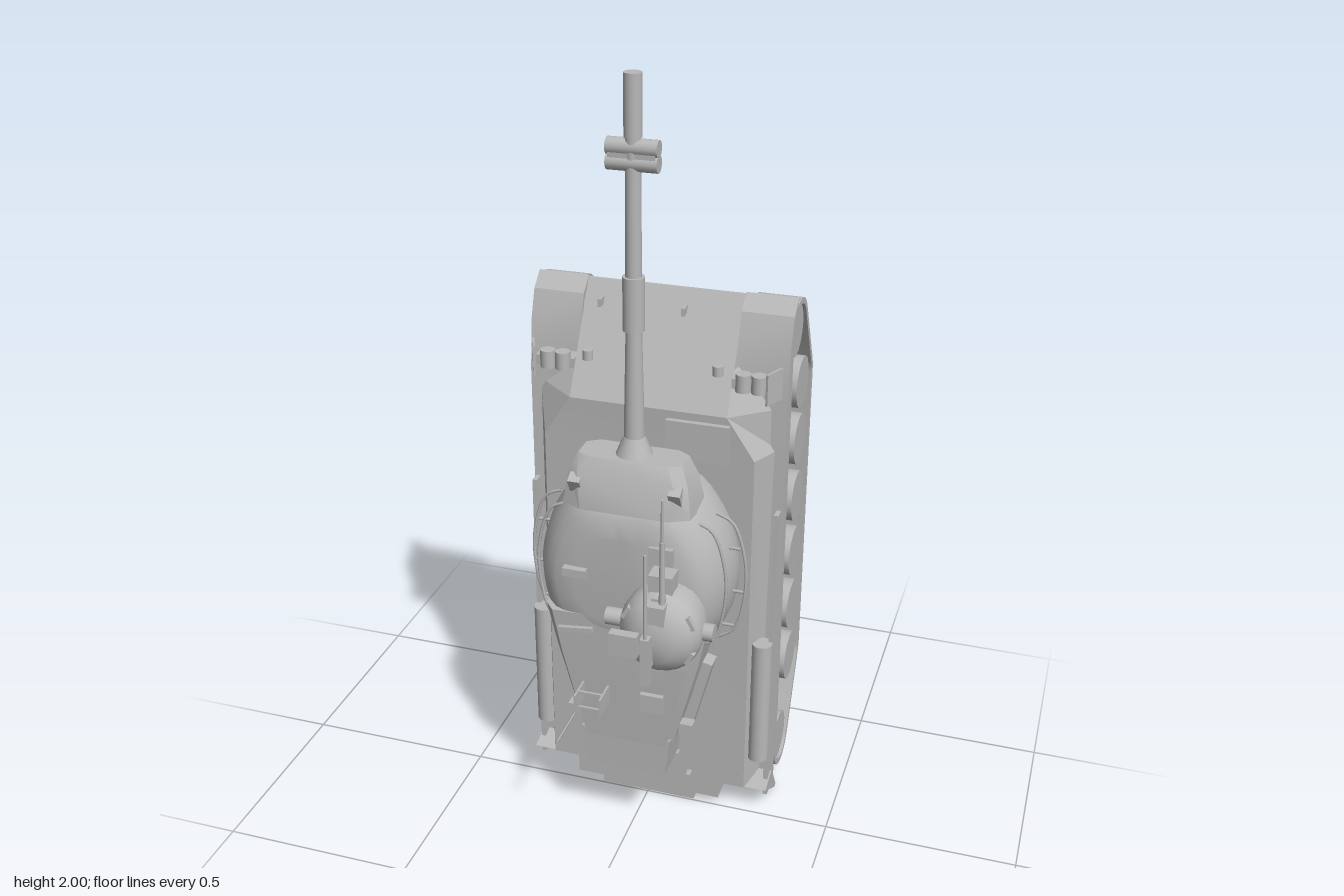
import * as THREE from 'three';
import { toCreasedNormals } from 'three/addons/utils/BufferGeometryUtils.js';

// Armoured vehicle standing on its tail: gun points to +y, roof faces +z.
export function createModel() {
  const model = new THREE.Group();
  const grey = new THREE.MeshStandardMaterial({ color: 0xb8b8b8, side: THREE.DoubleSide });
  grey.name = 'plain grey';

  function add(name, geometry, x = 0, y = 0, z = 0, rx = 0, ry = 0, rz = 0) {
    const mesh = new THREE.Mesh(geometry, grey);
    mesh.name = name;
    mesh.position.set(x, y, z);
    mesh.rotation.set(rx, ry, rz);
    model.add(mesh);
    return mesh;
  }
  const box = (name, w, h, d, x, y, z, rx, ry, rz) => add(name, new THREE.BoxGeometry(w, h, d), x, y, z, rx, ry, rz);
  // Cylinder between two points
  function rod(name, a, b, r, r2 = r, sides = 16) {
    const p = new THREE.Vector3(...a), q = new THREE.Vector3(...b), d = q.clone().sub(p);
    const mesh = add(name, new THREE.CylinderGeometry(r2, r, d.length(), sides));
    mesh.position.copy(p).add(q).multiplyScalar(0.5);
    mesh.quaternion.setFromUnitVectors(new THREE.Vector3(0, 1, 0), d.normalize());
  }
  // Closed skin through rings of equal length, wound outwards
  function loft(name, rings, crease) {
    const n = rings[0].length, tris = [];
    for (let k = 0; k < rings.length - 1; k++)
      for (let i = 0; i < n; i++) {
        const j = (i + 1) % n, a = rings[k][i], b = rings[k][j], c = rings[k + 1][j], d = rings[k + 1][i];
        tris.push([a, b, c], [a, c, d]);
      }
    const last = rings[rings.length - 1];
    for (let i = 1; i < n - 1; i++) {
      tris.push([rings[0][0], rings[0][i + 1], rings[0][i]], [last[0], last[i], last[i + 1]]);
    }
    let volume = 0;
    for (const [a, b, c] of tris)
      volume += new THREE.Vector3(...a).dot(new THREE.Vector3(...b).cross(new THREE.Vector3(...c)));
    if (volume < 0) tris.forEach((t) => t.reverse());
    const g = new THREE.BufferGeometry();
    g.setAttribute('position', new THREE.Float32BufferAttribute(tris.flat(2), 3));
    add(name, toCreasedNormals(g, crease));
  }
  // Symmetric ring at height y from half-section [x, z] points
  const section = (y, half) => [
    ...half.map(([x, z]) => [x, y, z]),
    ...half.slice().reverse().map(([x, z]) => [-x, y, z]),
  ];
  // Profile of [y, z] points extruded across x
  function across(name, outer, x0, x1, inner) {
    const toV = (p) => p.map(([y, z]) => new THREE.Vector2(-z, y));
    const shape = new THREE.Shape(toV(outer));
    if (inner) shape.holes.push(new THREE.Path(toV(inner)));
    const g = new THREE.ExtrudeGeometry(shape, { depth: x1 - x0, bevelEnabled: false });
    g.rotateY(Math.PI / 2);
    add(name, toCreasedNormals(g, 0.4), x0, 0, 0);
  }

  // Hull tub with chamfered belly and sloped ends
  loft('lowerHull', [
    section(0.03, [[0.17, -0.09], [0.2, -0.08], [0.2, -0.05], [0.2, -0.03]]),
    section(0.16, [[0.1, -0.265], [0.175, -0.22], [0.175, -0.1], [0.175, -0.03]]),
    section(1.3, [[0.1, -0.265], [0.175, -0.22], [0.175, -0.14], [0.175, -0.09]]),
    section(1.425, [[0.2, -0.155], [0.2, -0.153], [0.2, -0.151], [0.2, -0.15]]),
  ], 0.1);
  // Deck, flanks and glacis
  loft('upperHull', [
    section(0.03, [[0.2, -0.085], [0.2, 0]]),
    section(0.08, [[0.2, -0.085], [0.2, 0]]),
    section(0.081, [[0.3, -0.085], [0.27, 0]]),
    section(1.06, [[0.31, -0.085], [0.27, 0]]),
    section(1.17, [[0.31, -0.085], [0.2, 0.005]]),
    section(1.27, [[0.21, -0.11], [0.2, -0.053]]),
    section(1.43, [[0.2, -0.155], [0.2, -0.147]]),
  ], 0.1);
  box('rearPlate', 0.26, 0.03, 0.05, 0, 0.02, -0.03);

  // Running gear
  const wheelY = [1.164, 1.005, 0.84, 0.675, 0.51, 0.344], wheelZ = -0.275;
  const idler = [1.34, -0.18], sprocket = [0.14, -0.18];
  function beltOutline(r) {
    const points = [];
    const arc = ([y, z], from, to, n) => {
      for (let i = 0; i <= n; i++) {
        const a = THREE.MathUtils.degToRad(from + (to - from) * i / n);
        points.push([y + r * Math.cos(a), z + r * Math.sin(a)]);
      }
    };
    arc(idler, 90, -62, 14);
    arc([wheelY[0], wheelZ], -62, -90, 3);
    arc([wheelY[5], wheelZ], -90, -115, 3);
    arc(sprocket, -115, -270, 14);
    return points;
  }
  for (const s of [-1, 1]) {
    const span = (a, b) => (s > 0 ? [a, b] : [-b, -a]);
    across('track', beltOutline(0.081), ...span(0.218, 0.33), beltOutline(0.066));
    for (const y of wheelY) {
      rod('roadWheel', [s * 0.225, y, wheelZ], [s * 0.322, y, wheelZ], 0.067, 0.067, 28);
      rod('suspensionArm', [s * 0.14, y + 0.02, -0.245], [s * 0.228, y, -0.257], 0.02, 0.013);
    }
    for (const y of [1.08, 0.745, 0.43])
      rod('returnRoller', [s * 0.17, y, -0.138], [s * 0.315, y, -0.138], 0.03, 0.03, 20);
    for (const [y, z] of [idler, sprocket]) {
      rod('endWheel', [s * 0.225, y, z], [s * 0.322, y, z], 0.068, 0.068, 28);
      rod('drivePod', [s * 0.165, y - 0.02, z - 0.025], [s * 0.23, y - 0.02, z - 0.025], 0.042, 0.042, 20);
    }

    // Fender with a drooping nose and a slanted tail flap
    across('fender', [[0.08, -0.005], [0.1, -0.07], [1.2, -0.07], [1.33, -0.085], [1.4, -0.11], [1.435, -0.15],
      [1.42, -0.15], [1.385, -0.115], [1.32, -0.094], [0.07, -0.094], [0.012, -0.13], [0.008, -0.12]], ...span(0.2, 0.33));
    box('skirt', 0.012, 0.86, 0.035, s * 0.32, 0.47, -0.058);
    rod('fuelDrum', [s * 0.3, 0.17, -0.03], [s * 0.3, 0.53, -0.03], 0.027);
    // Headlights, guards, hooks and deck fittings
    for (const x of [0.229, 0.268])
      rod('headlight', [s * x, 1.23, -0.03], [s * x, 1.275, -0.03], 0.019);
    box('headlightBracket', 0.1, 0.025, 0.05, s * 0.25, 1.245, -0.055);
    box('headlightGuard', 0.006, 0.08, 0.06, s * 0.305, 1.25, -0.03, 0, s * -0.4);
    rod('deckLamp', [s * 0.165, 1.26, -0.035], [s * 0.165, 1.285, -0.035], 0.013);
    box('glacisHook', 0.008, 0.02, 0.03, s > 0 ? 0.058 : -0.155, 1.385, -0.11);
    box('towHook', 0.012, 0.03, 0.04, s * 0.085, 1.37, -0.205);
    box('deckLatch', 0.022, 0.09, 0.02, s * 0.08, 0.12, 0.008);
    box('deckHinge', 0.012, 0.03, 0.03, s * 0.12, 0.09, 0.008);
  }

  // Rounded turret bowl: one plan outline scaled through its height
  const half = [[0.13, 1.02], [0.2, 0.94], [0.24, 0.84], [0.247, 0.74], [0.22, 0.64], [0.15, 0.57]];
  const plan = new THREE.CatmullRomCurve3(
    [[0, 1.03], ...half, [0, 0.55], ...half.slice().reverse().map(([x, y]) => [-x, y])]
      .map(([x, y]) => new THREE.Vector3(x, y, 0)), true).getPoints(48).slice(0, 48);
  loft('turret', [[0.0, 0.97], [0.03, 1], [0.07, 1], [0.12, 0.96], [0.16, 0.89], [0.187, 0.8], [0.2, 0.7], [0.207, 0.5]]
    .map(([z, k]) => plan.map((p) => [p.x * k, 0.79 + (p.y - 0.79) * k, z])), 0.7);
  // Tapered bustle with stowage box
  const bustle = (y, w, z0, z1) => section(y, [[w * 0.85, z0], [w, z0 + 0.04], [w, z1 - 0.03], [w * 0.88, z1]]);
  loft('bustle', [bustle(0.31, 0.12, 0.06, 0.187), bustle(0.37, 0.135, 0.055, 0.19),
    bustle(0.56, 0.185, 0.005, 0.2), bustle(0.68, 0.21, 0.0, 0.205)], 0.3);
  loft('bustleBox', [section(0.22, [[0.105, 0.065], [0.105, 0.185]]), section(0.33, [[0.118, 0.065], [0.118, 0.187]])], 0.3);

  // Mantlet and gun
  loft('mantlet', [
    section(0.97, [[0.14, 0.03], [0.17, 0.07], [0.16, 0.17], [0.11, 0.195]]),
    section(1.05, [[0.12, 0.05], [0.155, 0.08], [0.15, 0.16], [0.12, 0.18]]),
    section(1.095, [[0.1, 0.06], [0.13, 0.08], [0.13, 0.14], [0.1, 0.155]]),
  ], 0.5);
  rod('gunCollar', [0, 1.07, 0.105], [0, 1.14, 0.105], 0.055, 0.026, 24);
  rod('barrelBase', [0, 1.1, 0.105], [0, 1.42, 0.105], 0.026, 0.019, 24);
  rod('barrelSleeve', [0, 1.41, 0.105], [0, 1.54, 0.105], 0.026, 0.026, 24);
  rod('barrel', [0, 1.54, 0.105], [0, 1.87, 0.105], 0.019, 0.018, 24);
  rod('muzzle', [0, 1.86, 0.105], [0, 2.0, 0.105], 0.021, 0.021, 24);
  for (const y of [1.803, 1.837])
    rod('muzzleBrake', [-0.06, y, 0.105], [0.06, y, 0.105], 0.02);
  box('brakeWeb', 0.11, 0.04, 0.032, 0, 1.82, 0.105);

  // Mirrored turret fittings
  for (const s of [-1, 1]) {
    for (const [z, inset] of [[0.078, 0], [0.137, 0.035]]) {
      const path = [[0.2, 0.95], [0.24, 0.93], [0.272, 0.84], [0.276, 0.74], [0.25, 0.63], [0.21, 0.6]];
      const curve = new THREE.CatmullRomCurve3(path.map(([x, y]) => new THREE.Vector3(s * (x - inset), y, z)));
      add('sideRail', new THREE.TubeGeometry(curve, 24, 0.004, 6));
    }
    for (const [x, y] of [[0.262, 0.86], [0.272, 0.74], [0.25, 0.64]])
      rod('railStay', [s * (x - 0.04), y, 0.078], [s * x, y, 0.078], 0.004, 0.004, 6);
    box('sideLocker', 0.025, 0.21, 0.046, s * 0.17, 0.44, 0.1, 0, 0, s * -0.25);
    box('frontLug', 0.03, 0.04, 0.03, s * 0.125, 1.03, 0.172, 0.5);
    box('smokeLauncher', 0.035, 0.035, 0.03, s * 0.15, 0.35, 0.14);
  }
  // Rear roof racks
  box('rackBase', 0.06, 0.05, 0.018, 0.075, 0.45, 0.2);
  for (const d of [-0.033, 0.033]) box('rackLeg', 0.005, 0.05, 0.07, -0.075 + d, 0.45, 0.23);
  for (const d of [-0.023, 0.023]) box('rackRail', 0.066, 0.005, 0.006, -0.075, 0.45 + d, 0.24);

  // Commander's cupola with its gun and sights
  const cx = 0.115, cy = 0.71;
  const domeProfile = [[0.1, 0], [0.104, 0.05], [0.1, 0.07], [0.085, 0.095], [0.055, 0.115], [0.001, 0.125]];
  const dome = add('cupola', toCreasedNormals(new THREE.LatheGeometry(
    domeProfile.map(([r, h]) => new THREE.Vector2(r, h)), 28), 0.5), cx, cy, 0.198, Math.PI / 2);
  dome.scale.z = 1.08;
  rod('rangefinder', [-0.03, cy, 0.233], [0.242, cy, 0.233], 0.022, 0.022, 20);
  for (let i = 0; i < 6; i++) {
    const a = i * Math.PI / 3 + 0.5;
    box('visionBlock', 0.035, 0.02, 0.03, cx + 0.088 * Math.cos(a), cy + 0.092 * Math.sin(a), 0.272, 0, 0, a + Math.PI / 2);
  }
  box('gunCradle', 0.06, 0.1, 0.05, cx, 0.81, 0.24);
  box('sightHead', 0.05, 0.05, 0.05, cx, 0.78, 0.29);
  rod('machineGun', [0.128, 0.8, 0.29], [0.128, 0.97, 0.29], 0.008, 0.006, 10);
  rod('machineGunBarrel', [0.128, 0.96, 0.29], [0.128, 1.08, 0.29], 0.004, 0.004, 8);
  box('roofGunBody', 0.022, 0.13, 0.025, 0.103, 0.67, 0.34);
  rod('roofGunBarrel', [0.103, 0.72, 0.343], [0.103, 0.96, 0.343], 0.005, 0.004, 8);
  box('ammunitionBox', 0.07, 0.06, 0.025, 0.045, 0.7, 0.328);
  box('roofGunMount', 0.02, 0.05, 0.05, 0.103, 0.67, 0.31);
  box('cupolaStep', 0.1, 0.03, 0.02, cx, 0.585, 0.207);

  // Crew periscope, hatch handle and aerial
  box('periscope', 0.06, 0.022, 0.025, -0.118, 0.805, 0.212);
  box('hatchHandle', 0.09, 0.012, 0.012, -0.12, 0.64, 0.214, 0, 0, 0.12);
  box('gunnerSight', 0.06, 0.05, 0.03, 0.1, 0.88, 0.2);
  rod('aerial', [-0.145, 0.35, 0.16], [-0.145, 0.35, 0.3], 0.003, 0.003, 6);
  box('driverHatch', 0.16, 0.1, 0.014, 0.13, 1.1, 0.012);
  return model;
}
